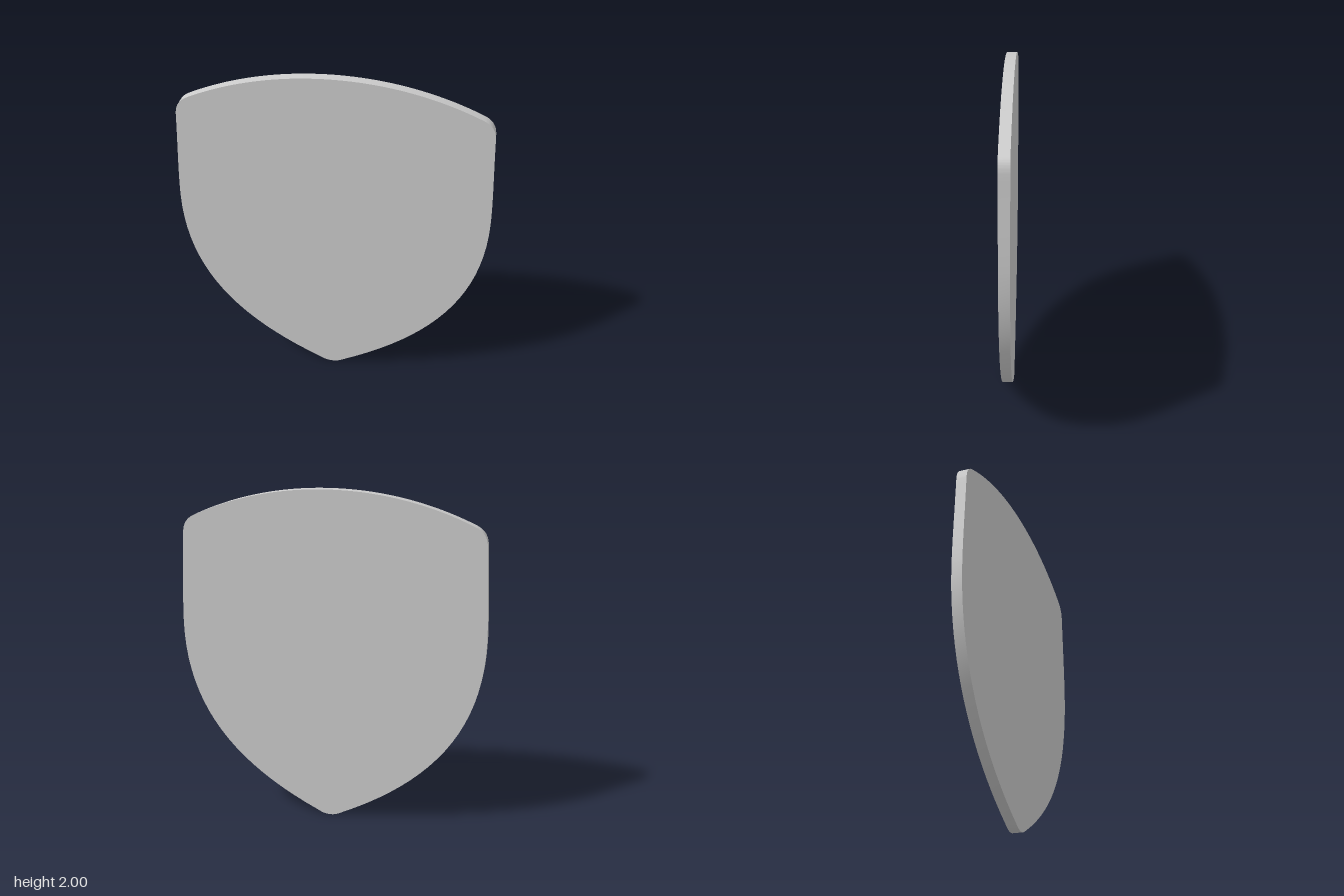
import * as THREE from 'three';
import { toCreasedNormals } from 'three/addons/utils/BufferGeometryUtils.js';

const THICKNESS = 0.06;

// Left half of the outline, from top centre down to the tip
function halfOutline() {
  const path = new THREE.Path();
  path.moveTo(0, 2);
  path.bezierCurveTo(0.31, 2, 0.58, 1.93, 0.8, 1.83); // arched top
  path.bezierCurveTo(0.855, 1.805, 0.872, 1.77, 0.875, 1.72); // rounded shoulder
  path.bezierCurveTo(0.885, 1.5, 0.9, 1.33, 0.9, 1.18); // flank
  path.bezierCurveTo(0.9, 0.65, 0.62, 0.29, 0.08, 0.025); // sweep to the tip
  path.bezierCurveTo(0.05, 0.008, 0.03, 0, 0, 0); // blunt tip
  return path.getPoints(20);
}

export function createModel() {
  const group = new THREE.Group();
  group.name = 'shield';

  // Mirror the half outline to close the shape
  const half = halfOutline();
  const mirrored = half.slice(1, -1).reverse().map((p) => new THREE.Vector2(-p.x, p.y));
  const shape = new THREE.Shape([...half, ...mirrored]);

  // Flat plate with a smooth rim and sharp face edges
  const plate = new THREE.ExtrudeGeometry(shape, { depth: THICKNESS, bevelEnabled: false });
  plate.translate(0, 0, -THICKNESS / 2);
  const mesh = new THREE.Mesh(
    toCreasedNormals(plate, Math.PI / 5),
    new THREE.MeshStandardMaterial({ color: 0xcccccc })
  );
  mesh.name = 'shieldPlate';
  group.add(mesh);
  return group;
}
